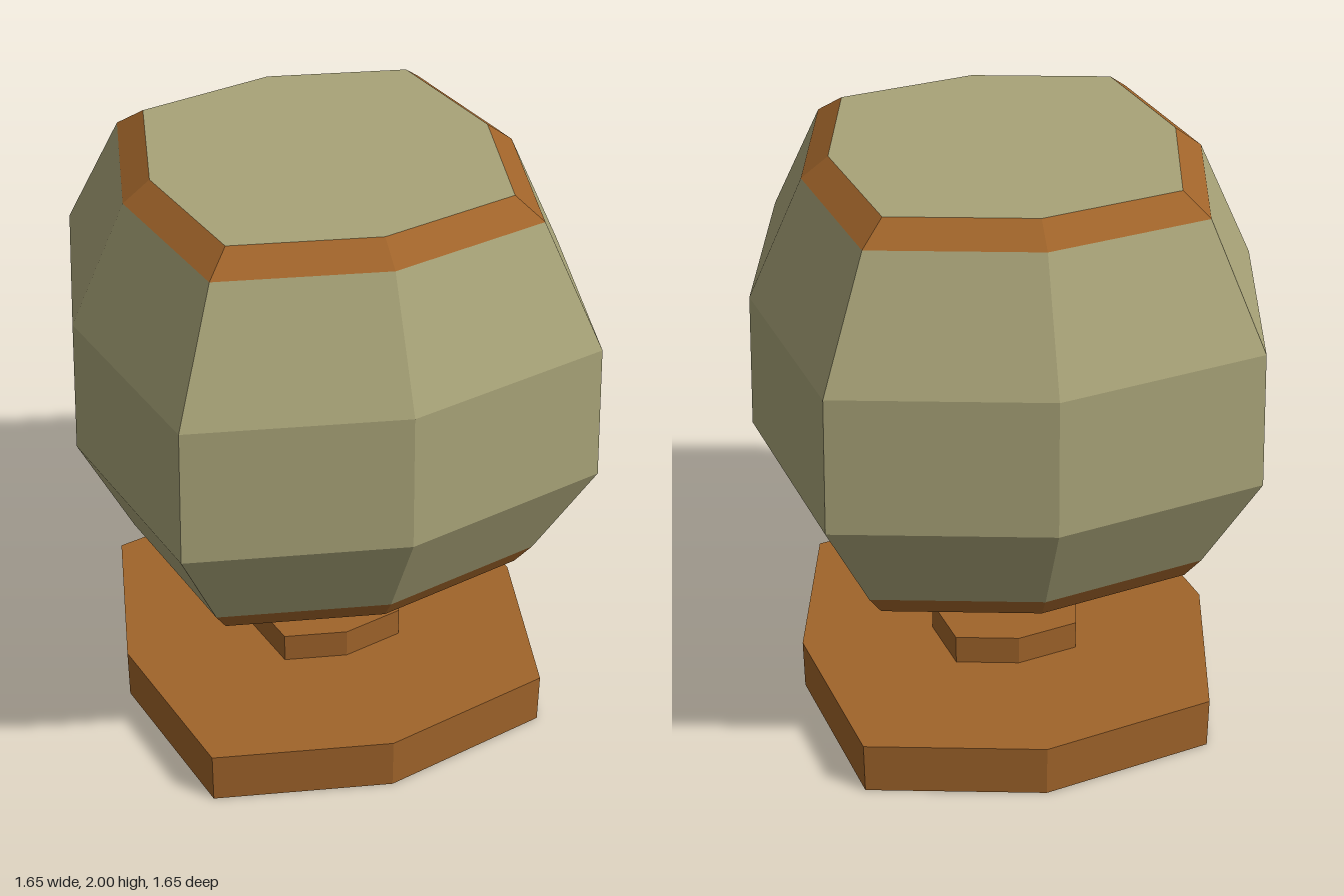
import * as THREE from 'three';

const BROWN = 0xa0642a;
const OLIVE = 0xa8a378;
const DIAGONAL = 1.155; // corners on the diagonals reach further out than those on the axes

const material = (color) => new THREE.MeshStandardMaterial({ color, flatShading: true });

// Eight-sided part from a [radius, height] profile, stretched towards its four diagonals
function octagonPart(name, profile, mat) {
  const points = profile.map(([r, y]) => new THREE.Vector2(r, y));
  const geometry = new THREE.LatheGeometry(points, 8);
  const pos = geometry.attributes.position;
  for (let i = 0; i < pos.count; i++) {
    const x = pos.getX(i), z = pos.getZ(i);
    if (Math.min(Math.abs(x), Math.abs(z)) > 1e-4) {
      pos.setXYZ(i, x * DIAGONAL, pos.getY(i), z * DIAGONAL);
    }
  }
  const flat = geometry.toNonIndexed();
  flat.computeVertexNormals();
  const mesh = new THREE.Mesh(flat, mat);
  mesh.name = name;
  return mesh;
}

// Closed prism between two heights
const prism = (name, r, y0, y1, mat) =>
  octagonPart(name, [[0, y0], [r, y0], [r, y1], [0, y1]], mat);

export function createModel() {
  const model = new THREE.Group();
  model.name = 'tableLamp';
  const brown = material(BROWN);
  const olive = material(OLIVE);

  // Stand
  const stand = new THREE.Group();
  stand.name = 'stand';
  stand.add(
    prism('base', 0.71, 0, 0.185, brown),
    prism('collar', 0.255, 0.185, 0.29, brown),
    prism('pole', 0.104, 0.29, 1.93, brown)
  );

  // Hollow shade, open below, with a trim band at each end
  const shade = new THREE.Group();
  shade.name = 'shade';
  shade.add(
    octagonPart('shadeInside', [[0, 1.93], [0.45, 1.93], [0.45, 0.655], [0.605, 0.655]], olive),
    octagonPart('bottomTrim', [[0.605, 0.655], [0.655, 0.735]], brown),
    octagonPart('shadeWall', [[0.655, 0.735], [0.824, 1.095], [0.805, 1.547], [0.625, 1.935]], olive),
    octagonPart('topTrim', [[0.625, 1.935], [0.54, 2]], brown),
    octagonPart('shadeTop', [[0.54, 2], [0, 2]], olive)
  );

  model.add(stand, shade);
  return model;
}
